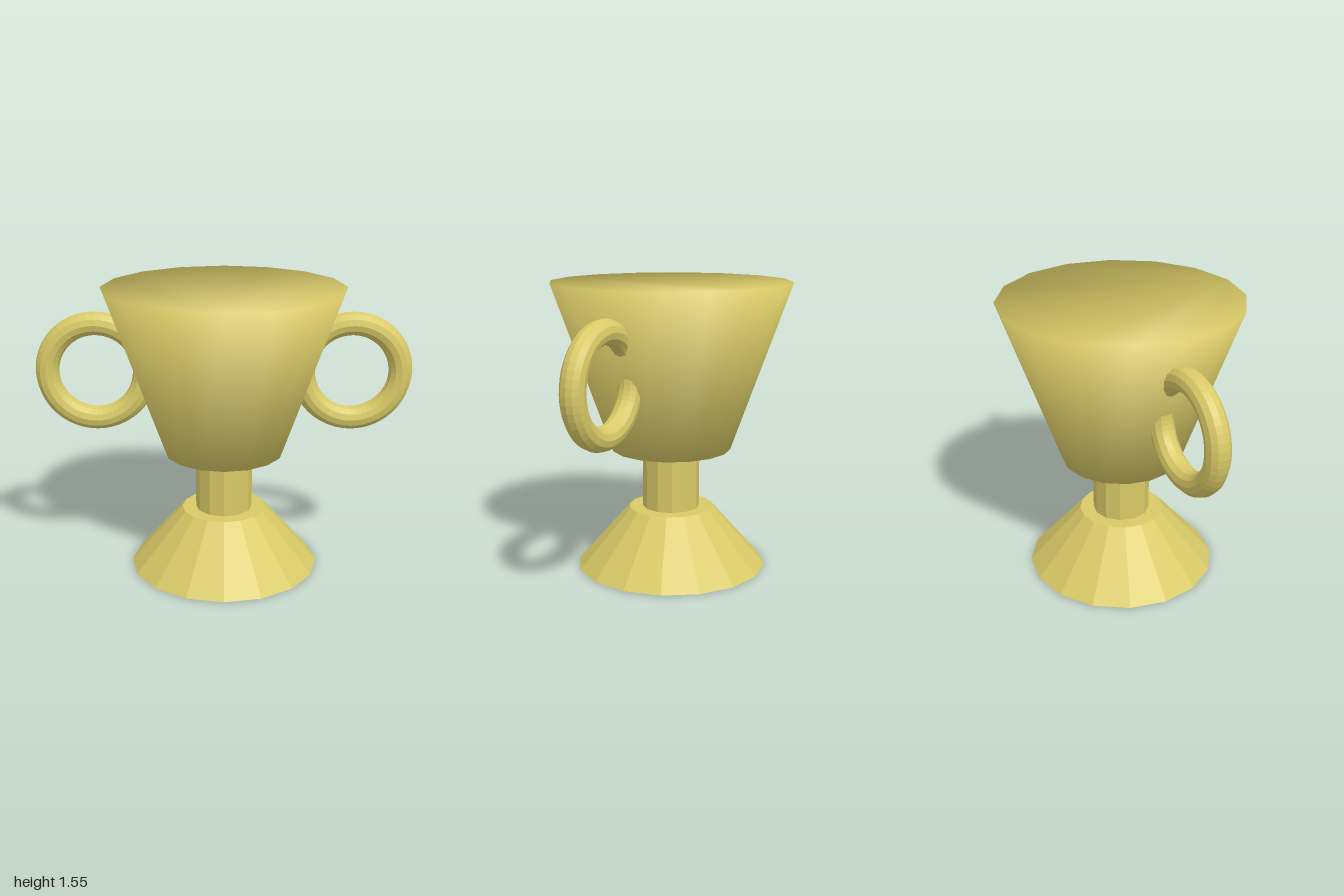
import * as THREE from 'three';

const gold = new THREE.MeshStandardMaterial({ color: 0xd9ca67 });
gold.name = 'gold';

// Faceted part: every face gets its own normal
function faceted(name, geometry) {
  const flat = geometry.toNonIndexed();
  flat.computeVertexNormals();
  const mesh = new THREE.Mesh(flat, gold);
  mesh.name = name;
  return mesh;
}

// Closed tapered solid whose caps share smooth normals with its wall.
// Each ring is { y, r, ny }, where ny is the normal's rise per unit outward.
function softFrustum(bottom, top, sides) {
  const positions = [], normals = [], index = [];
  for (const { y, r, ny } of [bottom, top]) {
    const length = Math.hypot(1, ny);
    for (let i = 0; i < sides; i++) {
      const a = (i / sides) * Math.PI * 2;
      const s = Math.sin(a), c = Math.cos(a);
      positions.push(r * s, y, r * c);
      normals.push(s / length, ny / length, c / length);
    }
  }
  for (let i = 0; i < sides; i++) {
    const j = (i + 1) % sides;
    index.push(i, j, sides + j, i, sides + j, sides + i); // wall
    if (i > 0 && j > 0) {
      index.push(0, j, i); // underside
      index.push(sides, sides + i, sides + j); // top
    }
  }
  const geometry = new THREE.BufferGeometry();
  geometry.setAttribute('position', new THREE.Float32BufferAttribute(positions, 3));
  geometry.setAttribute('normal', new THREE.Float32BufferAttribute(normals, 3));
  geometry.setIndex(index);
  return geometry;
}

export function createModel() {
  const trophy = new THREE.Group();
  trophy.name = 'trophyCup';

  // Flared foot
  const foot = faceted('foot', new THREE.CylinderGeometry(0.23, 0.515, 0.325, 16));
  foot.position.y = 0.1625;
  trophy.add(foot);

  // Stem, running slightly into the foot and cup
  const stem = faceted('stem', new THREE.CylinderGeometry(0.154, 0.154, 0.36, 12));
  stem.position.y = 0.485;
  trophy.add(stem);

  // Smooth tapered cup
  const cup = new THREE.Mesh(
    softFrustum({ y: 0.65, r: 0.322, ny: -1.27 }, { y: 1.55, r: 0.643, ny: 0.62 }, 16),
    gold
  );
  cup.name = 'cup';
  trophy.add(cup);

  // Ring handles, sunk into the cup on both sides
  for (const [name, side] of [['leftHandle', 1], ['rightHandle', -1]]) {
    const handle = faceted(name, new THREE.TorusGeometry(0.258, 0.063, 12, 48));
    handle.position.set(side * 0.679, 1.1, 0);
    trophy.add(handle);
  }

  return trophy;
}
